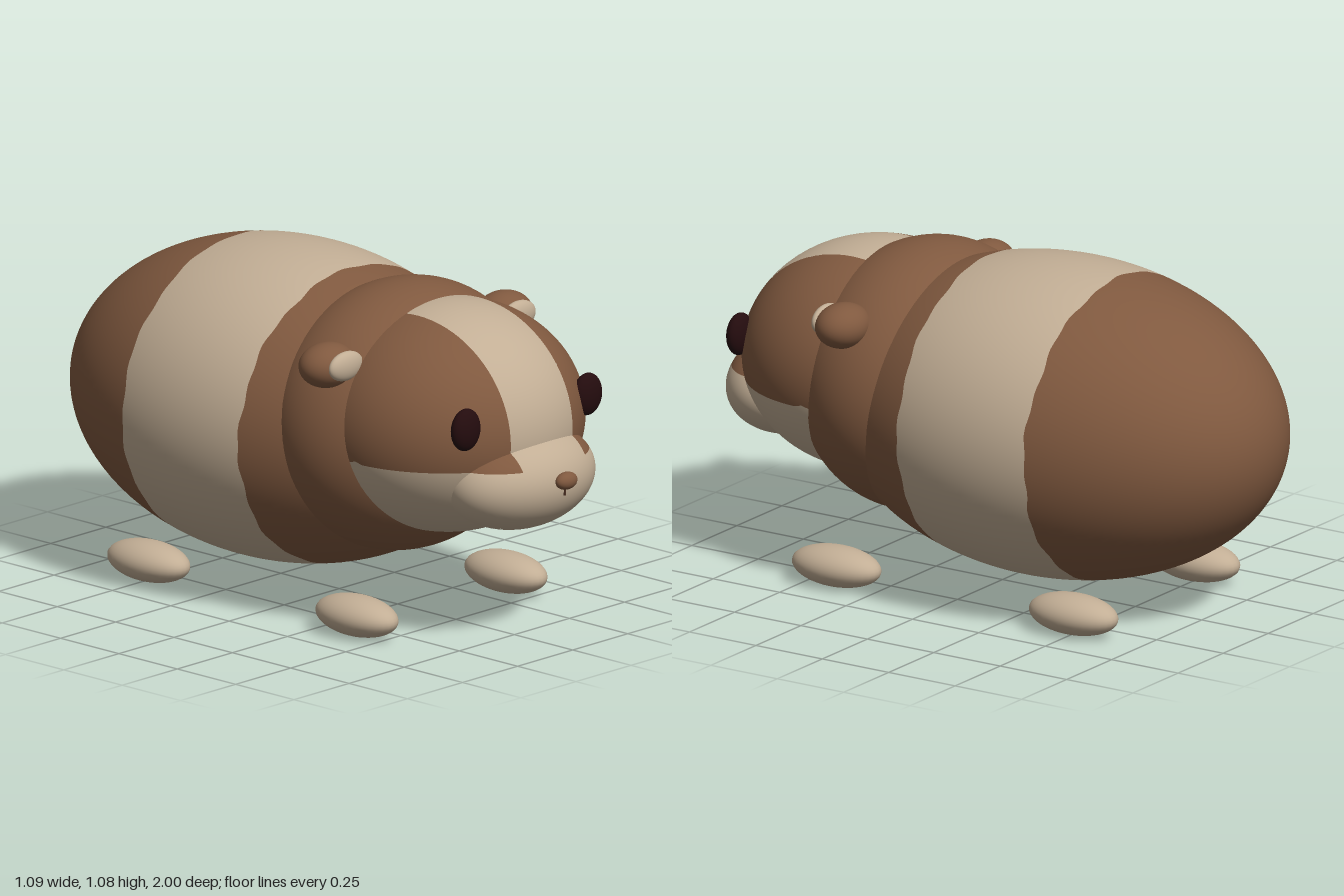
import * as THREE from 'three';
import { ParametricGeometry } from 'three/addons/geometries/ParametricGeometry.js';

const mat = (name, color) => {
  const m = new THREE.MeshStandardMaterial({ color });
  m.name = name;
  return m;
};

export function createModel() {
  const brown = mat('brown fur', 0x80593f);
  const cream = mat('cream fur', 0xc2ae95);
  const dark = mat('dark eye', 0x240c0e);
  const noseDark = mat('dark brown', 0x4a2e22);
  const group = new THREE.Group();

  const add = (name, geometry, material, parent = group) => {
    const m = new THREE.Mesh(geometry, material);
    m.name = name;
    parent.add(m);
    return m;
  };

  // Whole ellipsoid
  const ellipsoid = (name, c, r, material, seg = 32) => {
    const g = new THREE.SphereGeometry(1, seg, Math.round(seg * 0.7));
    g.scale(...r);
    g.translate(...c);
    return add(name, g, material);
  };

  // Part of an ellipsoid: theta runs from the pole (x or z axis), phi runs around it.
  // angles(u, v) gives [theta, phi], both rising with v and u.
  const patch = (name, c, r, axis, angles, material, nu = 48, nv = 24) => {
    const g = new ParametricGeometry((u, v, p) => {
      const [t, f] = angles(u, v);
      const a = Math.cos(t), b = Math.sin(t) * Math.sin(f), d = Math.sin(t) * Math.cos(f);
      if (axis === 'x') p.set(a, b, d);
      else p.set(b, d, a);
    }, nu, nv);
    // exact smooth normals of the unit sphere; scale() carries them to the ellipsoid
    g.setAttribute('normal', g.attributes.position.clone());
    g.scale(...r);
    g.translate(...c);
    return add(name, g, material);
  };

  // Body in three fur bands with slightly wavy borders
  const bodyC = [0, 0.58, -0.22], bodyR = [0.545, 0.505, 0.78];
  const border = (z, phase) => (f) => {
    const wave = 0.004 * Math.sin(9 * f + phase) + 0.003 * Math.sin(23 * f + phase);
    return Math.acos((z + wave - bodyC[2]) / bodyR[2]);
  };
  const front = border(0.05, 0), rear = border(-0.435, 2);
  const bands = [
    ['bodyFront', () => 0, front, brown],
    ['bodySaddle', front, rear, cream],
    ['bodyRump', rear, () => Math.PI, brown],
  ];
  for (const [name, t0, t1, m] of bands) {
    patch(name, bodyC, bodyR, 'z', (u, v) => {
      const f = u * Math.PI * 2;
      return [THREE.MathUtils.lerp(t0(f), t1(f), v), f];
    }, m, 120, 24);
  }

  // Shoulders
  ellipsoid('shoulders', [0, 0.63, 0.28], [0.475, 0.43, 0.37], brown, 64);

  // Head and muzzle share one marking: cream blaze and cream jaw, brown cheeks
  const blaze = 0.14, jawY = 0.59;
  const marked = (name, c, r) => {
    const ts = Math.acos(blaze / r[0]);
    const phi0 = (t) => Math.asin(THREE.MathUtils.clamp(
      (jawY - c[1]) / (r[1] * Math.max(Math.sin(t), 1e-4)), -1, 1));
    patch(name + 'Blaze', c, r, 'x',
      (u, v) => [THREE.MathUtils.lerp(ts, Math.PI - ts, v), u * Math.PI * 2], cream, 80, 16);
    for (const [side, t0, t1] of [['Left', 0, ts], ['Right', Math.PI - ts, Math.PI]]) {
      patch(name + 'Cheek' + side, c, r, 'x', (u, v) => {
        const t = THREE.MathUtils.lerp(t0, t1, v), f = phi0(t);
        return [t, THREE.MathUtils.lerp(f, Math.PI - f, u)];
      }, brown, 48, 40);
      patch(name + 'Jaw' + side, c, r, 'x', (u, v) => {
        const t = THREE.MathUtils.lerp(t0, t1, v), f = phi0(t);
        return [t, THREE.MathUtils.lerp(Math.PI - f, 2 * Math.PI + f, u)];
      }, cream, 48, 40);
    }
  };
  marked('head', [0, 0.665, 0.47], [0.433, 0.365, 0.42]);
  marked('muzzle', [0, 0.525, 0.77], [0.278, 0.165, 0.196]);

  // Nose and the short line below it
  ellipsoid('nose', [0, 0.546, 0.973], [0.042, 0.028, 0.027], brown, 24);
  const line = add('noseLine', new THREE.BoxGeometry(0.006, 0.035, 0.008), noseDark);
  line.position.set(0, 0.514, 0.964);

  // Paired parts
  for (const [side, s] of [['Left', 1], ['Right', -1]]) {
    ellipsoid('eye' + side, [s * 0.276, 0.735, 0.802], [0.058, 0.068, 0.033], dark);
    ellipsoid('ear' + side, [s * 0.4, 0.878, 0.328], [0.1, 0.071, 0.083], brown);
    ellipsoid('innerEar' + side, [s * 0.392, 0.886, 0.398], [0.073, 0.047, 0.026], cream);
    ellipsoid('frontFoot' + side, [s * 0.338, 0.066, 0.395], [0.088, 0.064, 0.158], cream);
    ellipsoid('backFoot' + side, [s * 0.338, 0.066, -0.497], [0.088, 0.064, 0.158], cream);
  }
  return group;
}
